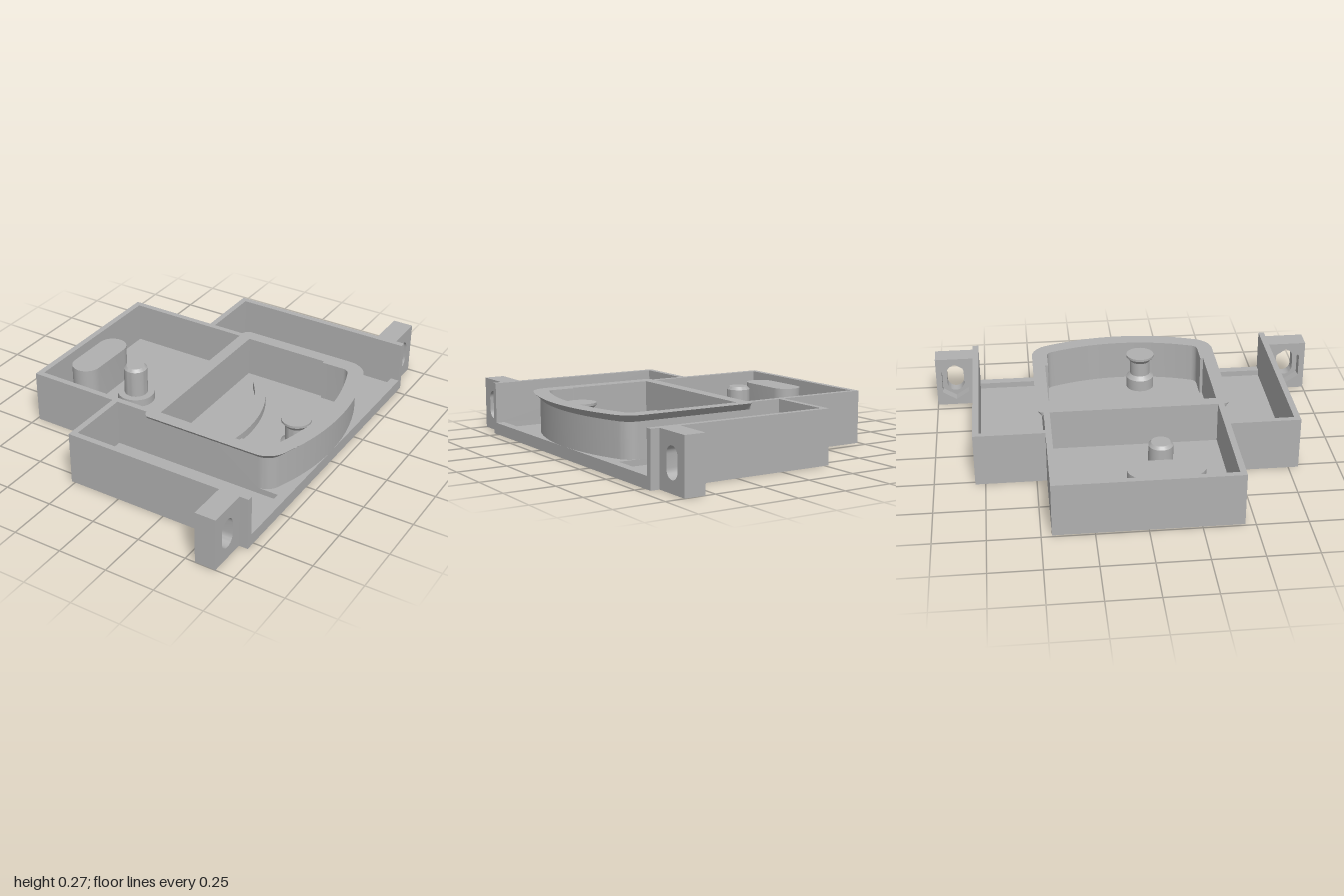
import * as THREE from 'three';
import { toCreasedNormals } from 'three/addons/utils/BufferGeometryUtils.js';

const FLOOR = 0.06, TOP = 0.27;

export function createModel() {
  const model = new THREE.Group();
  model.name = 'mechanismHousing';
  const grey = new THREE.MeshStandardMaterial({ color: 0xb0b0b0 });
  grey.name = 'plain grey';

  const add = (name, geometry) => {
    const mesh = new THREE.Mesh(geometry, grey);
    mesh.name = name;
    model.add(mesh);
    return mesh;
  };
  const box = (name, x0, x1, y0, y1, z0, z1) =>
    add(name, new THREE.BoxGeometry(x1 - x0, y1 - y0, z1 - z0))
      .position.set((x0 + x1) / 2, (y0 + y1) / 2, (z0 + z1) / 2);

  // Plan outlines are lists of [x, z]
  const toVectors = pts => pts.map(([x, z]) => new THREE.Vector2(x, -z));
  const planShape = (pts, holes = []) => {
    const shape = new THREE.Shape(toVectors(pts));
    for (const h of holes) shape.holes.push(new THREE.Path(toVectors(h)));
    return shape;
  };
  const slab = (name, pts, y0, y1, holes) => {
    const g = new THREE.ExtrudeGeometry(planShape(pts, holes), { depth: y1 - y0, bevelEnabled: false });
    g.rotateX(-Math.PI / 2).translate(0, y0, 0);
    return add(name, toCreasedNormals(g, 0.5));
  };
  const arc = (cx, cz, r, a0, a1, n) => Array.from({ length: n + 1 }, (_, i) => {
    const a = a0 + (a1 - a0) * i / n;
    return [cx + r * Math.cos(a), cz + r * Math.sin(a)];
  });
  const mirrorZ = half => [...half, ...half.filter(p => p[1] > 1e-6).reverse().map(([x, z]) => [x, -z])];
  const stadium = (cx, cz, r, half) => [
    ...arc(cx, cz + half, r, 0, Math.PI, 16), ...arc(cx, cz - half, r, Math.PI, 2 * Math.PI, 16)];

  // Base plate and floor with two shallow side pockets
  const base = mirrorZ([[-0.74, 0.45], [-0.27, 0.45], [-0.27, 0.8], [0.7, 0.8]]);
  const pocket = s => [[-0.24, 0.45 * s], [0.655, 0.45 * s], [0.655, 0.77 * s], [-0.24, 0.77 * s]];
  slab('basePlate', base, 0, 0.03);
  slab('floor', base, 0.03, FLOOR, [pocket(1), pocket(-1)]);

  // Outer walls
  box('endWall', -0.74, -0.71, FLOOR, TOP, -0.45, 0.45);
  for (const s of [1, -1]) {
    const wall = (name, x0, x1, z0, z1) =>
      box(name, x0, x1, FLOOR, TOP, Math.min(z0 * s, z1 * s), Math.max(z0 * s, z1 * s));
    wall('boxSideWall', -0.71, -0.07, 0.42, 0.45);
    wall('wingInnerWall', -0.27, -0.24, 0.45, 0.8);
    wall('wingSideWall', -0.24, 0.7, 0.77, 0.8);
  }

  // Chamber: flat back, bowed front, rounded corners
  const PX = -0.38, FX = 0.546, FZ = 0.365;
  const tilt = Math.atan2(FZ, FX - PX);
  const bow = d => [
    ...arc(FX, FZ, 0.085 + d, Math.PI / 2, tilt, 12),
    ...arc(PX, 0, 1.08 + d, tilt, 0, 16).slice(1)];
  const outline = d => mirrorZ([
    ...Array.from({ length: 7 }, (_, i) => {
      const t = i / 6 * Math.PI / 2;
      return [-0.035 - 0.035 * Math.cos(t), 0.45 + d * Math.sin(t)];
    }), ...bow(d)]);
  const inside = mirrorZ([[-0.01, 0.42], [0.43, 0.42], [0.43, 0.405], ...bow(-0.045)]);
  slab('chamberWall', outline(0), FLOOR, TOP - 0.001, [inside]);

  // Flared rim: sloping skirt and flat top ring
  const low = outline(0), high = outline(0.035);
  const pos = [];
  for (let i = 0; i < low.length - 1; i++) {
    const a = [low[i][0], TOP - 0.035, low[i][1]], b = [low[i + 1][0], TOP - 0.035, low[i + 1][1]];
    const c = [high[i + 1][0], TOP, high[i + 1][1]], d = [high[i][0], TOP, high[i][1]];
    pos.push(...a, ...b, ...c, ...a, ...c, ...d);
  }
  const skirt = new THREE.BufferGeometry();
  skirt.setAttribute('position', new THREE.Float32BufferAttribute(pos, 3));
  skirt.computeVertexNormals();
  add('rimFlare', toCreasedNormals(skirt, 0.5));
  add('rimTop', new THREE.ShapeGeometry(planShape(high, [inside])).rotateX(-Math.PI / 2).translate(0, TOP, 0));

  // Curved guide rib centred on the pivot pin
  slab('guideRib', [...arc(PX, 0.095, 0.667, -0.7, 0.36, 24), ...arc(PX, 0.095, 0.61, 0.36, -0.7, 24)], FLOOR, 0.1);

  // Rounded block
  slab('roundedBlock', stadium(-0.605, 0.095, 0.075, 0.11), FLOOR, 0.245);

  // Turned pins
  const pin = (name, x, profile) => {
    const g = new THREE.LatheGeometry(profile.map(([r, y]) => new THREE.Vector2(r, y)), 40);
    add(name, toCreasedNormals(g, 0.5)).position.set(x, 0, 0.095);
  };
  pin('pivotPin', PX, [[0.095, FLOOR], [0.095, 0.1], [0.06, 0.1], [0.06, 0.24], [0.047, 0.255], [0, 0.255]]);
  pin('springPost', 0.552, [[0.073, FLOOR], [0.073, 0.12], [0.053, 0.14], [0.053, 0.215],
    [0.073, 0.238], [0.073, 0.25], [0, 0.25]]);

  // Mounting ears: slot on the outside, wider six-sided recess behind
  const slot = stadium(0, 0.135, 0.045, 0.03);
  const recess = [[0, 0.03], [0.07, 0.075], [0.07, 0.195], [0, 0.24], [-0.07, 0.195], [-0.07, 0.075]];
  const vec = pts => pts.map(([a, b]) => new THREE.Vector2(a, b));
  for (const s of [1, -1]) {
    for (const [name, hole, x0, x1] of [['earRecess', recess, 0.55, 0.6], ['earSlot', slot, 0.6, 0.655]]) {
      const shape = new THREE.Shape(vec([[-0.1, 0], [0.1, 0], [0.1, TOP], [-0.1, TOP]]));
      shape.holes.push(new THREE.Path(vec(hole)));
      const g = new THREE.ExtrudeGeometry(shape, { depth: x1 - x0, bevelEnabled: false });
      g.rotateY(Math.PI / 2).translate(x0, 0, 0.9 * s);
      add(name, toCreasedNormals(g, 0.5));
    }
  }
  return model;
}
